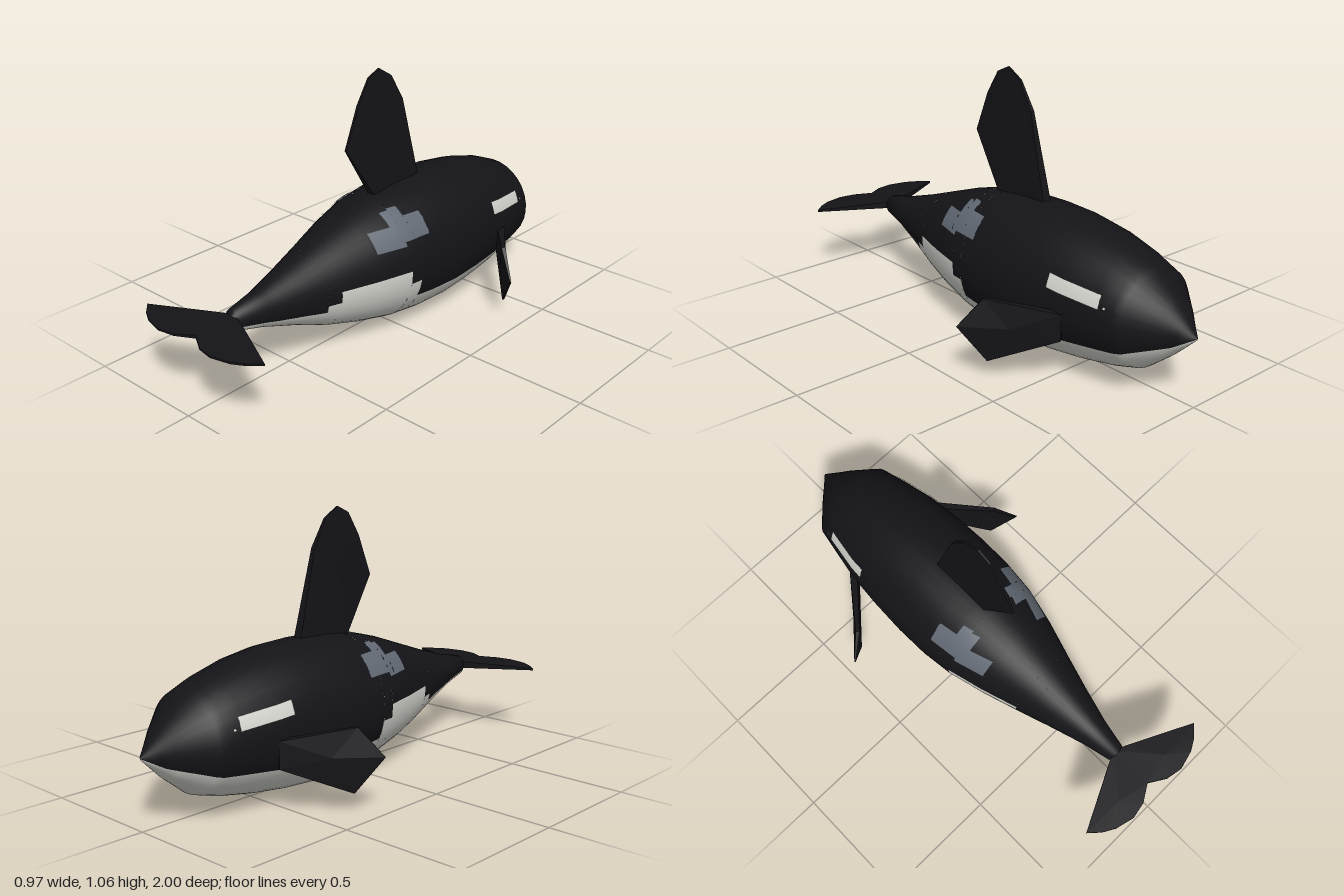
import * as THREE from 'three';

// Body stations: z, top, bottom, half width
const STATIONS = [
  [-1, 0.267, 0.263, 0.002], [-0.95, 0.32, 0.215, 0.05], [-0.9, 0.375, 0.168, 0.1],
  [-0.8, 0.466, 0.088, 0.192], [-0.7, 0.507, 0.058, 0.212], [-0.55, 0.546, 0.03, 0.24],
  [-0.4, 0.568, 0.01, 0.254], [-0.25, 0.574, 0, 0.26], [-0.1, 0.57, 0.007, 0.257],
  [0.05, 0.553, 0.025, 0.24], [0.2, 0.512, 0.06, 0.202], [0.35, 0.46, 0.105, 0.155],
  [0.5, 0.408, 0.165, 0.108], [0.65, 0.362, 0.218, 0.064], [0.77, 0.338, 0.25, 0.038],
  [0.782, 0.3, 0.285, 0.004],
];
// Stepped border between back and belly: z0, z1, y at z0, y at z1
const BORDER = [
  [-1, -0.93, 0.265, 0.225], [-0.93, -0.77, 0.225, 0.18], [-0.77, -0.55, 0.18, 0.163],
  [-0.55, -0.25, 0.163, 0.152], [-0.25, -0.01, 0.152, 0.163], [-0.01, 0.045, 0.24, 0.24],
  [0.045, 0.355, 0.297, 0.297], [0.355, 0.41, 0.25, 0.25], [0.41, 0.6, 0.22, 0.245],
  [0.6, 0.77, 0.245, 0.275], [0.77, 0.782, 0.275, 0.292],
];
const SADDLE = [
  [-0.07, 0.01, 0.417, 0.417, 0.5, 0.5], [0.01, 0.055, 0.417, 0.417, 0.528, 0.528],
  [0.055, 0.09, 0.4, 0.4, 0.522, 0.518], [0.09, 0.187, 0.4, 0.4, 0.475, 0.47],
];
const EYE_PATCH = [[-0.715, -0.49, 0.34, 0.362, 0.39, 0.415]];
const EYE = [[-0.742, -0.732, 0.344, 0.344, 0.353, 0.353]];

const { lerp, clamp } = THREE.MathUtils;
const material = (color, extra = {}) => new THREE.MeshStandardMaterial({ color, ...extra });

function section(z) {
  z = clamp(z, -1, 0.782);
  let i = 1;
  while (i < STATIONS.length - 1 && STATIONS[i][0] < z) i++;
  const a = STATIONS[i - 1], b = STATIONS[i], t = (z - a[0]) / (b[0] - a[0]);
  const [top, bottom, w] = [1, 2, 3].map((k) => lerp(a[k], b[k], t));
  return { mid: (top + bottom) / 2, h: (top - bottom) / 2, w };
}

// Point on the body; the angle starts at the top and turns toward +x
function bodyPoint(z, a) {
  const s = section(z);
  return new THREE.Vector3(s.w * Math.sin(a), s.mid + s.h * Math.cos(a), clamp(z, -1, 0.782));
}

function bodyNormal(z, a) {
  const zc = clamp(z, -0.97, 0.75);
  const dz = bodyPoint(zc + 0.04, a).sub(bodyPoint(zc - 0.04, a));
  const da = bodyPoint(zc, a + 0.05).sub(bodyPoint(zc, a - 0.05));
  return dz.cross(da).normalize();
}

function angleAt(z, y) {
  const s = section(z);
  return Math.acos(clamp((y - s.mid) / s.h, -1, 1));
}

// Smooth skin over strips [z0, z1, from(z, t), to(z, t)]
function skin(name, mat, strips, around, lift = 0) {
  const pos = [], nor = [], idx = [];
  for (const [z0, z1, from, to] of strips) {
    const cuts = STATIONS.map((s) => s[0]).filter((z) => z > z0 + 0.004 && z < z1 - 0.004);
    const zs = [z0, ...cuts, z1], base = pos.length / 3, row = around + 1;
    zs.forEach((z, i) => {
      const t = (z - z0) / (z1 - z0), a0 = from(z, t), a1 = to(z, t);
      for (let j = 0; j <= around; j++) {
        const a = lerp(a0, a1, j / around), n = bodyNormal(z, a);
        pos.push(...bodyPoint(z, a).addScaledVector(n, lift).toArray());
        nor.push(...n.toArray());
        if (i && j) {
          const d = base + i * row + j, c = d - 1, b = d - row, e = b - 1;
          idx.push(e, c, d, e, d, b);
        }
      }
    });
  }
  const g = new THREE.BufferGeometry();
  g.setAttribute('position', new THREE.Float32BufferAttribute(pos, 3));
  g.setAttribute('normal', new THREE.Float32BufferAttribute(nor, 3));
  g.setIndex(idx);
  const mesh = new THREE.Mesh(g, mat);
  mesh.name = name;
  return mesh;
}

// Marking on one flank: rows of z0, z1, low y at both ends, high y at both ends
function marking(name, mat, rows, side) {
  const strips = rows.map(([z0, z1, l0, l1, h0, h1]) => {
    const high = (z, t) => side * angleAt(z, lerp(h0, h1, t));
    const low = (z, t) => side * angleAt(z, lerp(l0, l1, t));
    return side > 0 ? [z0, z1, high, low] : [z0, z1, low, high];
  });
  return skin(name, mat, strips, 4, 0.004);
}

// Faceted fin: outline points [x, y, z, half thickness] thickened along a direction
function fin(name, mat, outline, dir, core) {
  const n = outline.length, pos = [], idx = [];
  const mean = [0, 1, 2].map((k) => outline.reduce((sum, p) => sum + p[k], 0) / n);
  const all = [...outline, [...mean, core]];
  for (const s of [1, -1])
    for (const [x, y, z, t] of all)
      pos.push(x + s * t * dir[0], y + s * t * dir[1], z + s * t * dir[2]);
  for (let i = 0; i < n; i++) {
    const j = (i + 1) % n, m = n + 1;
    idx.push(n, i, j, n + m, j + m, i + m, i, i + m, j + m, i, j + m, j);
  }
  const g = new THREE.BufferGeometry();
  g.setAttribute('position', new THREE.Float32BufferAttribute(pos, 3));
  g.setIndex(idx);
  g.computeVertexNormals();
  const mesh = new THREE.Mesh(g, mat);
  mesh.name = name;
  return mesh;
}

export function createModel() {
  const group = new THREE.Group();
  const black = material(0x141418);
  const white = material(0xd6d6d0);
  const grey = material(0x626973);
  const finBlack = material(0x141418, { flatShading: true, side: THREE.DoubleSide });

  // Dark back and pale belly share the stepped border
  const border = (b) => (z, t) => angleAt(z, lerp(b[2], b[3], t));
  group.add(skin('back', black, BORDER.map((b) => {
    const a = border(b);
    return [b[0], b[1], (z, t) => -a(z, t), a];
  }), 20));
  group.add(skin('belly', white, BORDER.map((b) => {
    const a = border(b);
    return [b[0], b[1], a, (z, t) => 2 * Math.PI - a(z, t)];
  }), 16));

  // Tall dorsal fin
  group.add(fin('dorsalFin', finBlack, [
    [0, 0.53, 0.01, 0.018], [0, 0.775, 0.17, 0.004], [0, 0.94, 0.1, 0.005],
    [0, 1.035, 0.04, 0.004], [0, 1.062, -0.02, 0.004], [0, 1.02, -0.09, 0.005],
    [0, 0.91, -0.155, 0.009], [0, 0.53, -0.252, 0.02],
  ], [1, 0, 0], 0.013));

  for (const side of [1, -1]) {
    const label = side > 0 ? 'left' : 'right';
    group.add(marking(label + 'SaddlePatch', grey, SADDLE, side));
    group.add(marking(label + 'EyePatch', white, EYE_PATCH, side));
    group.add(marking(label + 'Eye', white, EYE, side));

    // Pectoral fin, swept back and outward
    group.add(fin(label + 'PectoralFin', finBlack, [
      [side * 0.225, 0.28, -0.56, 0.016], [side * 0.4, 0.317, -0.335, 0.008],
      [side * 0.483, 0.208, -0.277, 0.003], [side * 0.4, 0.07, -0.352, 0.004],
      [side * 0.225, 0.175, -0.56, 0.016],
    ], [side * 0.78, 0, -0.62], 0.014));

    // Tail fluke, one half per side
    group.add(fin(label + 'Fluke', finBlack, [
      [0, 0.297, 0.765, 0.015], [side * 0.04, 0.297, 0.775, 0.014],
      [side * 0.317, 0.298, 0.908, 0.004], [side * 0.27, 0.298, 0.95, 0.004],
      [side * 0.22, 0.298, 0.978, 0.004], [side * 0.14, 0.298, 0.998, 0.003],
      [side * 0.07, 0.298, 0.985, 0.004], [0, 0.298, 0.942, 0.007],
    ], [0, side, 0], 0.01));
  }
  return group;
}
